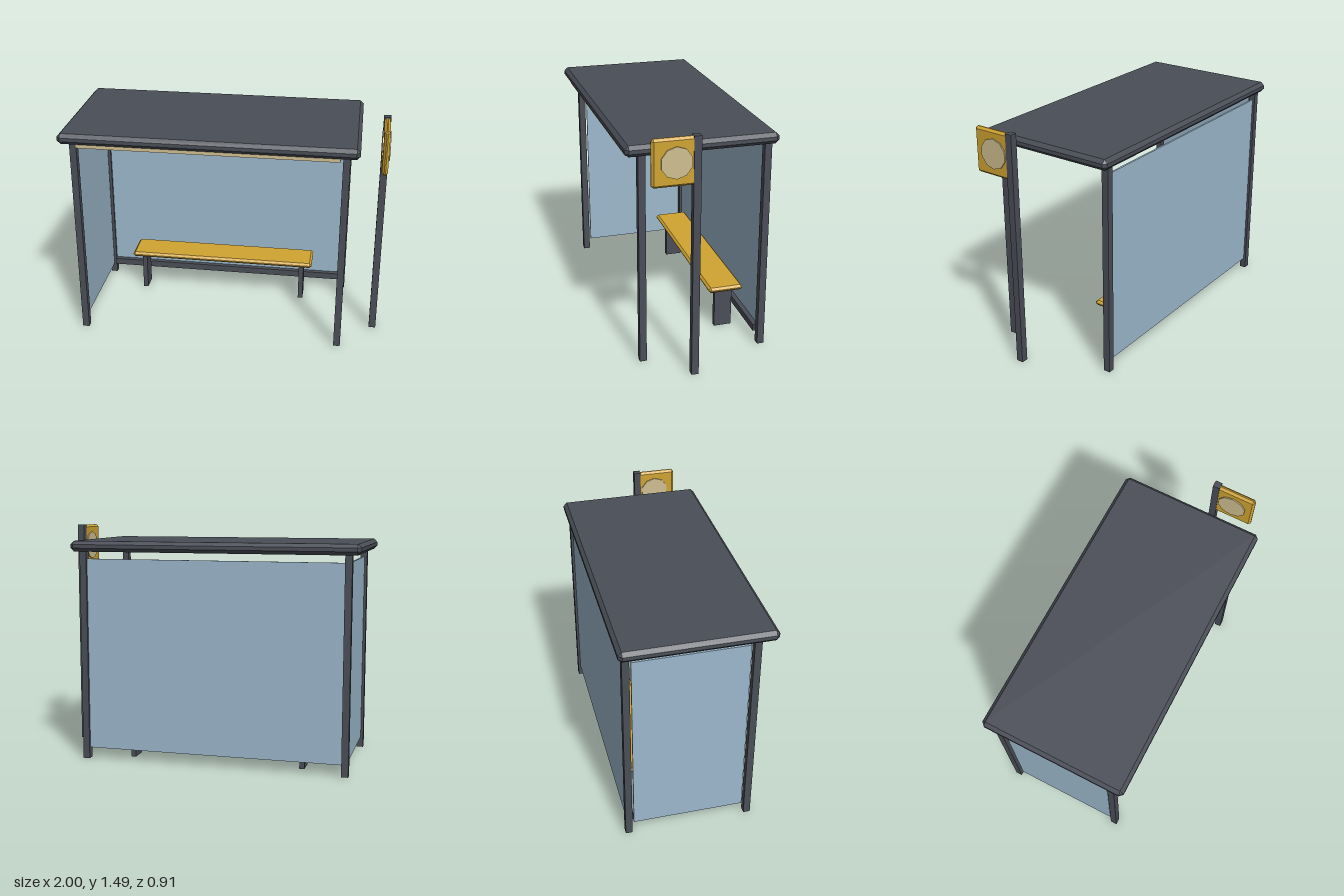
import * as THREE from 'three';
import { ConvexGeometry } from 'three/addons/geometries/ConvexGeometry.js';

const mat = (name, color) => {
  const m = new THREE.MeshStandardMaterial({ color });
  m.name = name;
  return m;
};

// Box given by its min and max corners
function box(x0, x1, y0, y1, z0, z1) {
  return new THREE.BoxGeometry(x1 - x0, y1 - y0, z1 - z0)
    .translate((x0 + x1) / 2, (y0 + y1) / 2, (z0 + z1) / 2);
}

// Box with every edge cut at 45 degrees
function chamferBox(x0, x1, y0, y1, z0, z1, c) {
  const half = [(x1 - x0) / 2, (y1 - y0) / 2, (z1 - z0) / 2];
  const points = [];
  for (const sx of [-1, 1]) for (const sy of [-1, 1]) for (const sz of [-1, 1])
    for (let axis = 0; axis < 3; axis++) {
      const p = half.map((h, i) => (i === axis ? h : h - c));
      points.push(new THREE.Vector3(sx * p[0], sy * p[1], sz * p[2]));
    }
  return new ConvexGeometry(points)
    .translate((x0 + x1) / 2, (y0 + y1) / 2, (z0 + z1) / 2);
}

export function createModel() {
  const steel = mat('dark steel', 0x4a4e57);
  const gold = mat('golden yellow', 0xd0a432);
  const glass = mat('blue glass', 0x9cb8cc);
  const cream = mat('cream light', 0xcfbf90);

  const model = new THREE.Group();
  model.name = 'busShelter';
  const add = (name, geometry, material) => {
    const mesh = new THREE.Mesh(geometry, material);
    mesh.name = name;
    model.add(mesh);
  };

  // Roof on four corner posts
  add('roof', chamferBox(-1, 0.827, 1.335, 1.402, -0.457, 0.457, 0.022), steel);
  for (const [side, x] of [['Right', -0.925], ['Left', 0.748]])
    for (const [end, z] of [['front', 0.35], ['back', -0.409]])
      add(`${end}${side}Post`, box(x - 0.0215, x + 0.0215, 0, 1.337, z - 0.0215, z + 0.0215), steel);

  // Glass on the back and on one end, with a rail along the back
  add('backGlass', box(-0.905, 0.728, 0.07, 1.29, -0.415, -0.403), glass);
  add('sideGlass', box(-0.931, -0.919, 0.07, 1.29, -0.375, 0.316), glass);
  add('backRail', box(-0.905, 0.728, 0.071, 0.115, -0.41, -0.372), steel);

  // Light strip under the front edge of the roof
  add('lightStrip', box(-0.89, 0.712, 1.31, 1.337, 0.373, 0.43), cream);

  // Bench
  add('benchSeat', chamferBox(-0.714, 0.54, 0.266, 0.3, -0.37, -0.146, 0.014), gold);
  for (const x of [-0.643, 0.467])
    add('benchLeg', box(x - 0.016, x + 0.016, 0, 0.27, -0.314, -0.2), steel);

  // Stop sign standing apart: pole, square plate and ten-sided disc
  add('signPole', box(0.952, 0.996, 0, 1.49, 0.071, 0.115), steel);
  add('signPlate', chamferBox(0.956, 0.992, 1.206, 1.488, 0.074, 0.354, 0.014), gold);
  const disc = new THREE.CylinderGeometry(0.093, 0.093, 0.051, 10, 1, false, Math.PI / 2).toNonIndexed();
  disc.rotateZ(Math.PI / 2).translate(0.974, 1.347, 0.213);
  disc.computeVertexNormals();
  add('signDisc', disc, cream);

  return model;
}
